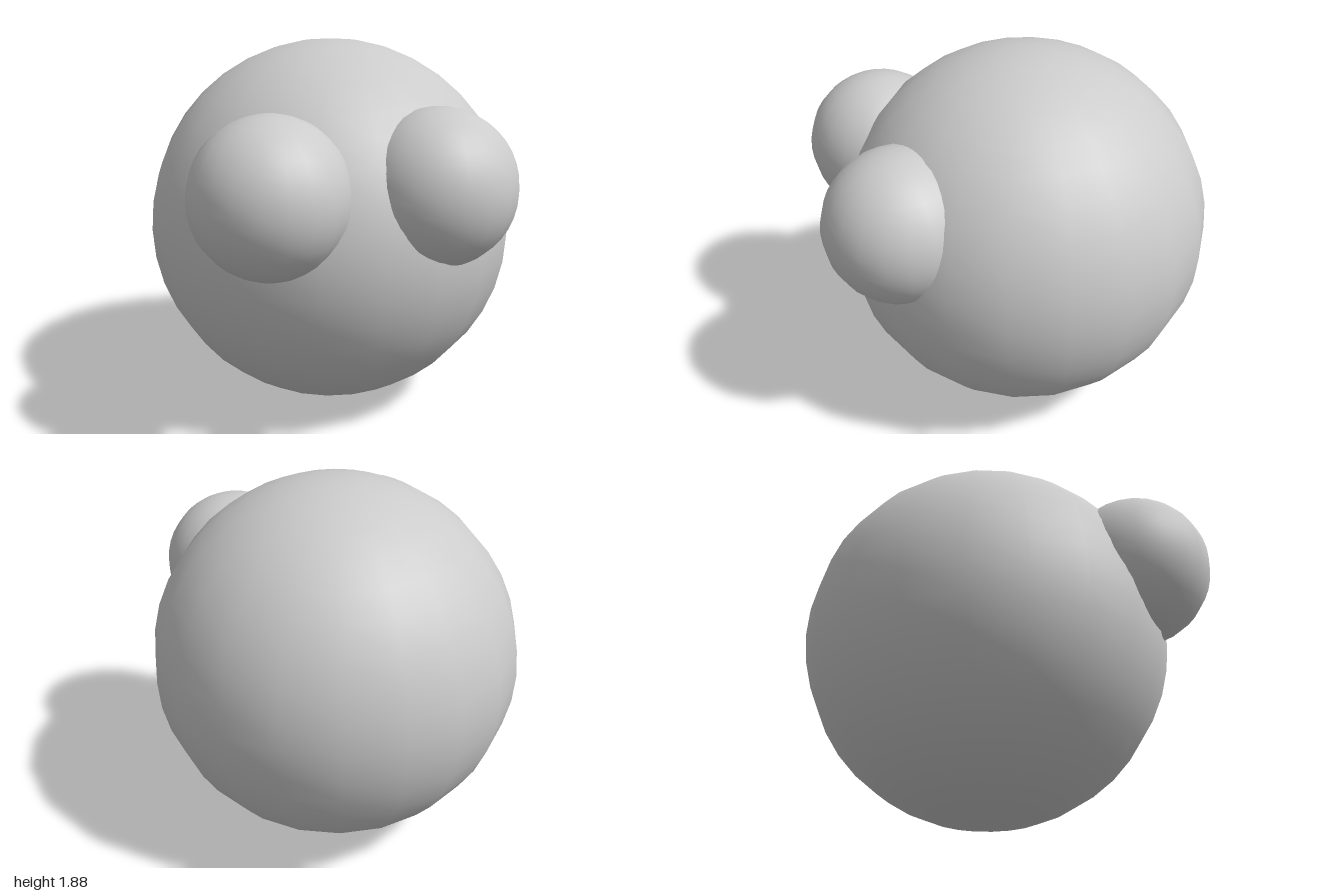
import * as THREE from 'three';

const material = new THREE.MeshStandardMaterial({ color: 0xcccccc });

// A smooth ball with 20 segments around and 20 from pole to pole
function ball(name, radius, x, y, z) {
  const mesh = new THREE.Mesh(new THREE.SphereGeometry(radius, 20, 20), material);
  mesh.name = name;
  mesh.position.set(x, y, z);
  return mesh;
}

export function createModel() {
  const model = new THREE.Group();
  model.name = 'ballWithEyes';

  // Body, standing on the ground
  model.add(ball('body', 0.942, 0, 0.942, -0.058));

  // Eyes, half sunk into the front; the right one sits further out
  model.add(ball('leftEye', 0.38, 0.337, 1.237, 0.617));
  model.add(ball('rightEye', 0.38, -0.468, 1.237, 0.617));

  return model;
}
